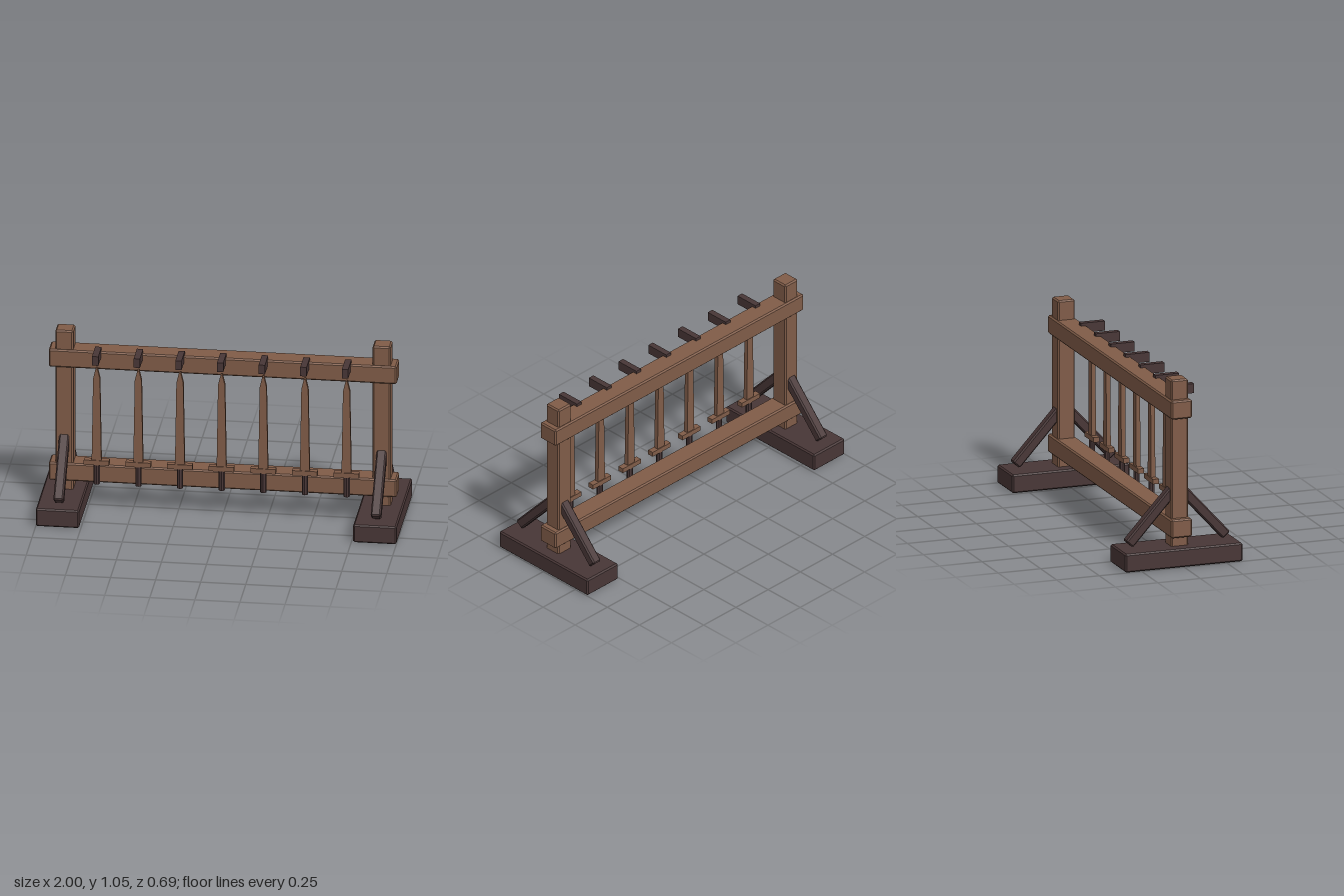
import * as THREE from 'three';
import { ConvexGeometry } from 'three/addons/geometries/ConvexGeometry.js';

const wood = new THREE.MeshStandardMaterial({ color: 0x805c48 });
wood.name = 'warm wood';
const darkWood = new THREE.MeshStandardMaterial({ color: 0x483636 });
darkWood.name = 'dark wood';

// Box with chamfered edges: each corner is cut back to three points
function beam(w, h, d, c = 0.008) {
  const points = [];
  for (const x of [-w / 2, w / 2]) for (const y of [-h / 2, h / 2]) for (const z of [-d / 2, d / 2]) {
    const [ix, iy, iz] = [x, y, z].map((v) => v - Math.sign(v) * c);
    points.push(new THREE.Vector3(x, iy, iz), new THREE.Vector3(ix, y, iz), new THREE.Vector3(ix, iy, z));
  }
  return new ConvexGeometry(points);
}

function add(parent, name, geometry, material, x, y, z) {
  const mesh = new THREE.Mesh(geometry, material);
  mesh.name = name;
  mesh.position.set(x, y, z);
  parent.add(mesh);
  return mesh;
}

// Straight, slightly tapering blade with a pointed tip
function bladeGeometry() {
  const shape = new THREE.Shape([
    [-0.027, 0.3], [0.027, 0.3], [0.019, 0.8], [0.005, 0.86], [-0.005, 0.86], [-0.019, 0.8],
  ].map(([x, y]) => new THREE.Vector2(x, y)));
  return new THREE.ExtrudeGeometry(shape, { depth: 0.025, bevelEnabled: false }).translate(0, 0, -0.0125);
}

export function createModel() {
  const model = new THREE.Group();
  model.name = 'trainingSwordRack';

  // End frames: foot, post and two diagonal braces
  const foot = beam(0.24, 0.105, 0.69);
  const post = beam(0.1, 1.052, 0.1);
  const low = new THREE.Vector2(0.286, 0.131), high = new THREE.Vector2(0.022, 0.421);
  const brace = beam(0.056, low.distanceTo(high), 0.056);
  const lean = Math.atan2(low.x - high.x, high.y - low.y);
  for (const side of [-1, 1]) {
    const frame = new THREE.Group();
    frame.name = side > 0 ? 'leftFrame' : 'rightFrame';
    frame.position.x = side * 0.88;
    model.add(frame);
    add(frame, 'foot', foot, darkWood, 0, 0.0525, 0);
    add(frame, 'post', post, wood, 0, 0.526, 0);
    for (const s of [-1, 1]) {
      add(frame, s > 0 ? 'frontBrace' : 'backBrace', brace, darkWood,
        0, (low.y + high.y) / 2, s * (low.x + high.x) / 2).rotation.x = -s * lean;
    }
  }

  // Horizontal rails
  const rail = beam(1.93, 0.105, 0.122);
  add(model, 'lowerRail', rail, wood, 0, 0.211, 0);
  add(model, 'upperRail', rail, wood, 0, 0.888, 0);

  // Pegs along the upper rail, with a sword hanging in front at each
  const peg = new THREE.BoxGeometry(0.035, 0.054, 0.14);
  const blade = bladeGeometry();
  const guard = new THREE.BoxGeometry(0.14, 0.028, 0.035);
  const grip = new THREE.CylinderGeometry(0.0175, 0.0175, 0.12, 8).toNonIndexed();
  grip.computeVertexNormals();
  for (let i = -3; i <= 3; i++) {
    const x = i * 0.231;
    add(model, 'peg', peg, darkWood, x, 0.93, 0.097);
    const sword = new THREE.Group();
    sword.name = 'sword';
    sword.position.set(x, 0, 0.098);
    model.add(sword);
    add(sword, 'blade', blade, wood, 0, 0, 0);
    add(sword, 'guard', guard, wood, 0, 0.299, 0);
    add(sword, 'grip', grip, darkWood, 0, 0.229, 0);
  }
  return model;
}
